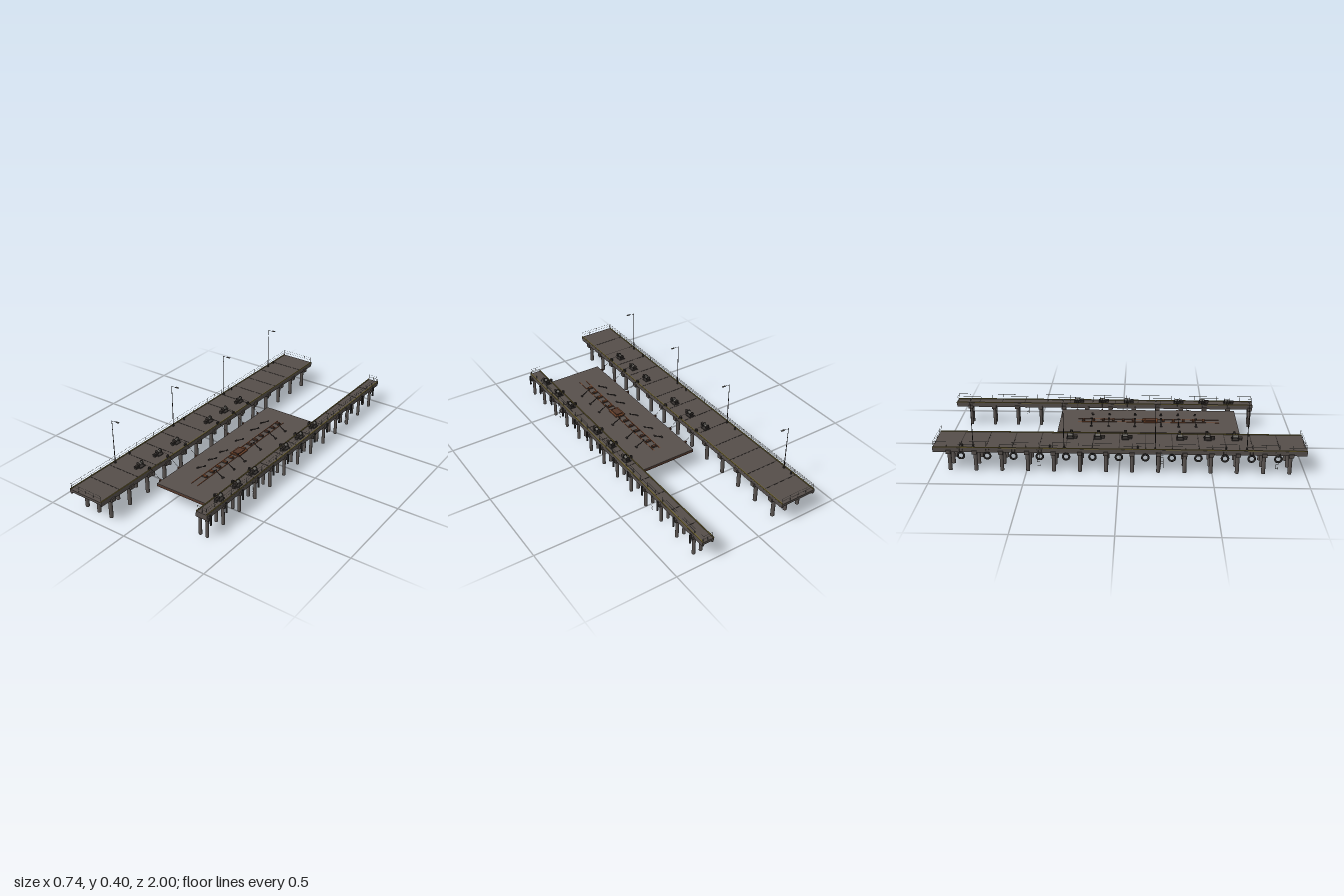
import * as THREE from 'three';

const mat = (name, color) => Object.assign(new THREE.MeshStandardMaterial({ color }), { name });

export function createModel() {
  const M = {
    concrete: mat('concrete', 0x554e4a),
    pile: mat('pile concrete', 0x5a5451),
    joint: mat('slab joint', 0x35302d),
    plate: mat('deck plate', 0x58504c),
    rust: mat('rusty steel', 0x54372a),
    dark: mat('dark steel', 0x34302e),
    rail: mat('railing steel', 0x72706b),
    rubber: mat('rubber', 0x2a2827),
    yellow: mat('kerb yellow', 0x746833),
    wood: mat('block timber', 0x70432a),
  };
  const root = new THREE.Group();
  root.name = 'shipLift';
  const group = (name, parent = root) => {
    const g = new THREE.Group();
    g.name = name;
    parent.add(g);
    return g;
  };
  const add = (p, name, geo, m, x = 0, y = 0, z = 0) => {
    const o = new THREE.Mesh(geo, m);
    o.name = name;
    o.position.set(x, y, z);
    p.add(o);
    return o;
  };
  // box given by its extents
  const box = (p, name, m, x0, x1, y0, y1, z0, z1) =>
    add(p, name, new THREE.BoxGeometry(x1 - x0, y1 - y0, z1 - z0), m, (x0 + x1) / 2, (y0 + y1) / 2, (z0 + z1) / 2);
  // round bar between two points
  const bar = (p, name, m, a, b, r, sides = 6) => {
    const A = new THREE.Vector3(...a), B = new THREE.Vector3(...b), d = B.clone().sub(A);
    const o = add(p, name, new THREE.CylinderGeometry(r, r, d.length(), sides), m);
    o.position.copy(A).add(B).multiplyScalar(0.5);
    o.quaternion.setFromUnitVectors(new THREE.Vector3(0, 1, 0), d.normalize());
    return o;
  };
  const TOP = 0.142;

  // railing along a straight line, with two bars and posts
  const railing = (p, x0, z0, x1, z1, n) => {
    for (const y of [0.160, 0.1755]) bar(p, 'railBar', M.rail, [x0, y, z0], [x1, y, z1], 0.0006, 5);
    for (let i = 0; i <= n; i++) {
      const x = x0 + (x1 - x0) * i / n, z = z0 + (z1 - z0) * i / n;
      bar(p, 'railPost', M.rail, [x, TOP, z], [x, 0.176, z], 0.0008, 5);
    }
  };

  // pier with slabs, cross caps, piles, kerbs and railings
  const BENT = 0.1408;
  const pier = (name, x0, x1, z1, pileXs, pileR, slabs, side, bents) => {
    const g = group(name), z0 = -1, step = (z1 - z0) / slabs;
    box(g, 'deckSlab', M.concrete, x0, x1, 0.127, TOP, z0, z1);
    for (let i = 1; i < slabs; i++)
      box(g, 'slabJoint', M.joint, x0 + 0.006, x1 - 0.006, TOP - 0.002, TOP + 0.001, z0 + i * step - 0.002, z0 + i * step + 0.002);
    for (const x of [x0 + 0.006, x1 - 0.006])
      box(g, 'edgeGirder', M.concrete, x - 0.005, x + 0.005, 0.116, 0.128, z0 + 0.002, z1 - 0.002);
    for (const x of [x0 + 0.003, x1 - 0.003])
      box(g, 'kerb', M.yellow, x - 0.0025, x + 0.0025, TOP - 0.001, TOP + 0.004, z0, z1);
    const outer = side < 0 ? x0 : x1;
    for (let i = 0; i < bents; i++) {
      const z = Math.min(-0.915 + i * BENT, z1 - 0.016);
      box(g, 'crossCap', M.concrete, x0 - 0.007, x1 + 0.007, 0.107, 0.127, z - 0.013, z + 0.013);
      for (const x of pileXs)
        add(g, 'pile', new THREE.CylinderGeometry(pileR, pileR, 0.108, 16), M.pile, x, 0.054, z);
    }
    const xr = outer - side * 0.007;
    railing(g, xr, z0 + 0.005, xr, z1 - 0.005, slabs * 2);
    for (const z of [z0 + 0.005, z1 - 0.005]) railing(g, x0 + 0.006, z, x1 - 0.004, z, x1 - x0 > 0.1 ? 4 : 2);
    return g;
  };
  const wide = pier('widePier', -0.354, -0.138, 1, [-0.328, -0.244, -0.16], 0.0108, 14, -1, 14);
  const narrow = pier('narrowPier', 0.286, 0.354, 0.78, [0.298, 0.341], 0.009, 13, 1, 13);

  // tyre fenders between the caps of the wide pier
  for (let i = 0; i < 13; i++) {
    const z = -0.915 + (i + 0.5) * BENT, x = -0.3635;
    const t = add(wide, 'tyreFender', new THREE.TorusGeometry(0.0175, 0.0055, 8, 18), M.rubber, x, 0.102, z);
    t.rotation.y = Math.PI / 2;
    for (const dz of [-0.008, 0.008])
      bar(wide, 'tyreChain', M.dark, [x, 0.118, z + dz], [-0.354, 0.136, z + dz], 0.0009, 5);
  }
  // upright fender posts on the cap ends of the narrow pier
  for (let i = 0; i < 13; i++) {
    const z = Math.min(-0.915 + i * BENT, 0.764);
    add(narrow, 'fenderPost', new THREE.CylinderGeometry(0.0055, 0.0055, 0.057, 10), M.rubber, 0.364, 0.1085, z);
  }

  // ladders down the outer faces
  const ladder = (p, x, z) => {
    const g = group('ladder', p);
    for (const dz of [-0.007, 0.007]) bar(g, 'ladderSide', M.rail, [x, 0.04, z + dz], [x, 0.14, z + dz], 0.0008, 5);
    for (let y = 0.045; y < 0.138; y += 0.011) bar(g, 'rung', M.rail, [x, y, z - 0.007], [x, y, z + 0.007], 0.0008, 5);
  };
  for (const z of [0.84, 0.23, -0.43]) ladder(wide, -0.357, z);
  for (const z of [0.4, -0.58]) ladder(narrow, 0.36, z);

  // lamp posts
  for (let i = 0; i < 4; i++) {
    const g = group('lampPost', wide), z = 0.68 - i * 0.487, x = -0.339;
    box(g, 'lampBase', M.dark, x - 0.005, x + 0.005, TOP, TOP + 0.006, z - 0.005, z + 0.005);
    add(g, 'pole', new THREE.CylinderGeometry(0.0014, 0.0024, 0.257, 8), M.dark, x, TOP + 0.1285, z);
    bar(g, 'arm', M.dark, [x, 0.396, z], [-0.308, 0.4, z], 0.001);
    box(g, 'lampHead', M.rail, -0.31, -0.29, 0.3985, 0.4025, z - 0.004, z + 0.004);
  }
  // mooring bollards
  for (const z of [-0.84, -0.37, 0.1, 0.57]) {
    add(wide, 'bollard', new THREE.CylinderGeometry(0.0035, 0.0045, 0.012, 10), M.dark, -0.336, TOP + 0.006, z);
    add(wide, 'bollardCap', new THREE.CylinderGeometry(0.0055, 0.0045, 0.003, 10), M.dark, -0.336, TOP + 0.0135, z);
  }

  // winches with ropes; dir is the x direction of the platform
  const stations = [-0.27, -0.12, 0.03, 0.33, 0.48, 0.63];
  const winch = (p, x, z, dir, lead, anchor) => {
    const g = group('winch', p), cy = 0.1605;
    box(g, 'winchBase', M.dark, x - 0.019, x + 0.019, TOP, TOP + 0.004, z - 0.02, z + 0.02);
    const drum = add(g, 'drum', new THREE.CylinderGeometry(0.008, 0.008, 0.028, 16), M.rail, x, cy, z);
    drum.rotation.x = Math.PI / 2;
    for (const dz of [-0.014, 0.014]) {
      const f = add(g, 'drumFlange', new THREE.CylinderGeometry(0.0125, 0.0125, 0.0025, 18), M.joint, x, cy, z + dz);
      f.rotation.x = Math.PI / 2;
      for (const s of [-1, 1])
        bar(g, 'winchLeg', M.dark, [x + s * 0.015, TOP, z + dz * 1.25], [x, cy, z + dz * 1.25], 0.002);
    }
    const motor = add(g, 'motor', new THREE.CylinderGeometry(0.006, 0.006, 0.02, 12), M.joint, x - dir * 0.002, 0.156, z + 0.029);
    motor.rotation.x = Math.PI / 2;
    box(g, 'motorFoot', M.dark, x - 0.007, x + 0.007, TOP, 0.152, z + 0.021, z + 0.037);
    // fairlead at the deck edge
    for (const dz of [-0.006, 0.006])
      box(g, 'fairleadCheek', M.dark, lead - 0.004, lead + 0.004, TOP, 0.16, z + dz - 0.0012, z + dz + 0.0012);
    const s = add(g, 'sheave', new THREE.CylinderGeometry(0.006, 0.006, 0.009, 14), M.joint, lead, 0.156, z);
    s.rotation.x = Math.PI / 2;
    const pts = [[x, cy + 0.009, z], [lead - dir * 0.002, 0.1635, z], [lead + dir * 0.006, 0.158, z], [anchor, 0.109, z]];
    for (let i = 0; i < 3; i++) bar(g, 'rope', M.dark, pts[i], pts[i + 1], 0.0008, 5);
  };
  for (const z of stations) {
    winch(wide, -0.207, z, 1, -0.142, -0.07);
    winch(narrow, 0.318, z, -1, 0.288, 0.28);
  }

  // lifting platform: plate over a grid of beams
  const plat = group('liftPlatform');
  const px0 = -0.058, px1 = 0.27, pz0 = -0.357, pz1 = 0.67, cx = 0.107;
  box(plat, 'deckPlate', M.plate, px0, px1, 0.1075, 0.112, pz0, pz1);
  for (let i = 0; i < 6; i++) {
    const x = px0 + 0.004 + i * (px1 - px0 - 0.008) / 5;
    box(plat, 'longBeam', M.rust, x - 0.003, x + 0.003, 0.096, 0.1078, pz0, pz1);
  }
  for (let i = 0; i < 12; i++) {
    const z = pz0 + 0.004 + i * (pz1 - pz0 - 0.008) / 11;
    box(plat, 'crossBeam', M.rust, px0, px1, 0.095, 0.1078, z - 0.004, z + 0.004);
  }
  for (const z of stations) for (const [a, b] of [[-0.074, px0], [px1, 0.286]])
    box(plat, 'ropeBracket', M.rust, a, b, 0.095, 0.109, z - 0.005, z + 0.005);

  // track rails and keel blocks on the centre line
  for (const x of [cx - 0.02, cx + 0.02])
    box(plat, 'trackRail', M.wood, x - 0.002, x + 0.002, 0.112, 0.1145, -0.25, 0.566);
  for (let i = 0; i < 13; i++) {
    const z = -0.22 + i * 0.058;
    box(plat, 'keelBlockBase', M.joint, cx - 0.017, cx + 0.017, 0.112, 0.117, z - 0.007, z + 0.007);
    box(plat, 'keelBlock', i < 6 ? M.rust : M.wood, cx - 0.012, cx + 0.012, 0.117, 0.122, z - 0.007, z + 0.007);
  }
  // stepped cradle block amidships
  box(plat, 'cradleBase', M.wood, cx - 0.03, cx + 0.03, 0.112, 0.118, 0.13, 0.21);
  box(plat, 'cradleTop', M.rust, cx - 0.019, cx + 0.019, 0.118, 0.1235, 0.14, 0.2);

  // sloping side props in mirrored pairs
  for (const z of [-0.17, -0.07, 0.08, 0.23, 0.33, 0.43]) for (const s of [-1, 1]) {
    const g = group('sideProp', plat);
    const xa = cx + s * 0.084, xb = cx + s * 0.036;
    box(g, 'propFoot', M.dark, xa - 0.004, xa + 0.004, 0.112, 0.117, z - 0.007, z + 0.007);
    bar(g, 'propArm', M.dark, [xa, 0.114, z], [xb, 0.141, z], 0.002);
    const pad = box(g, 'propPad', M.dark, xb - 0.003, xb + 0.003, 0.138, 0.145, z - 0.006, z + 0.006);
    pad.rotation.z = -s * 0.5;
  }
  return root;
}
